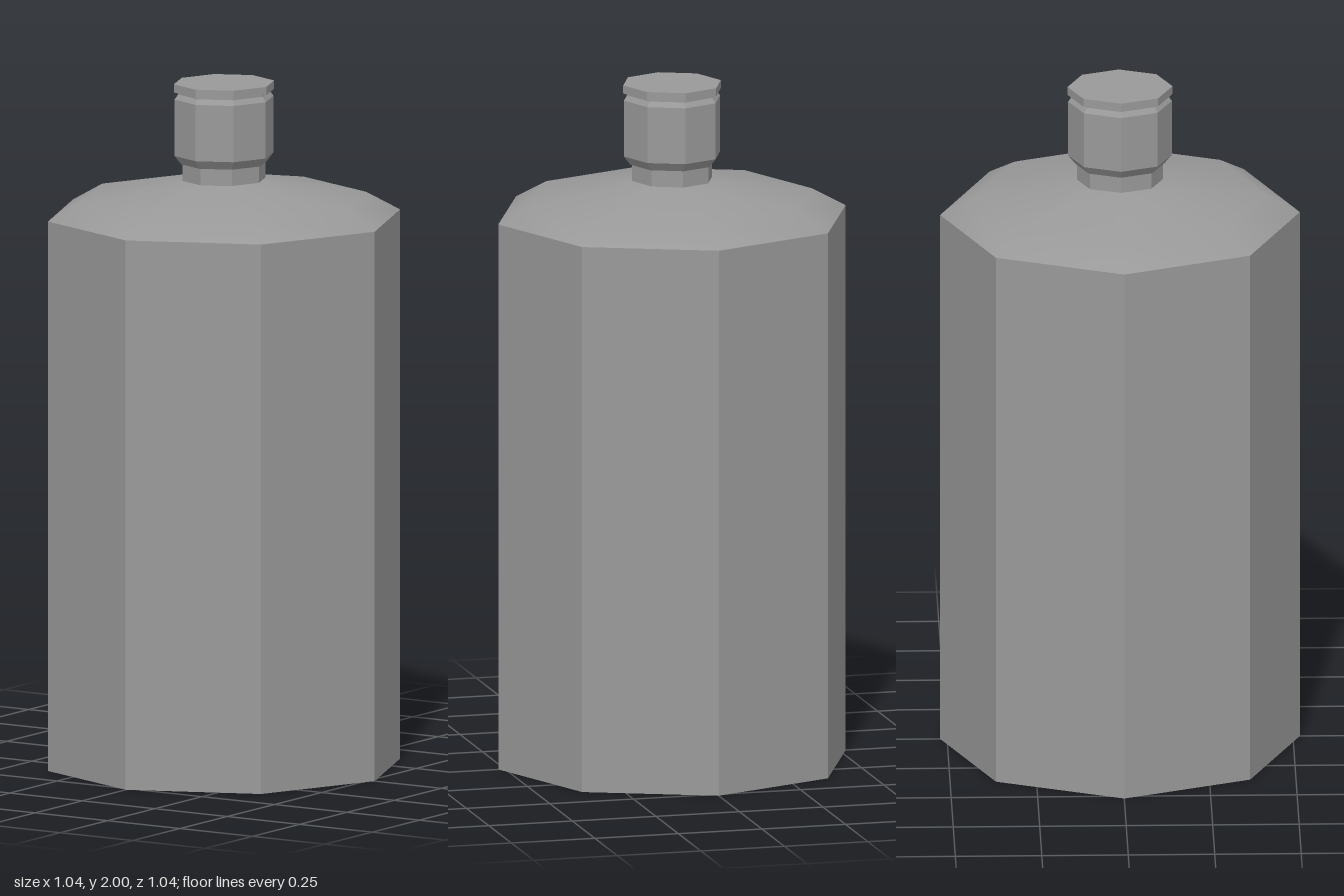
import * as THREE from 'three';

const SIDES = 8;

// Eight-sided turned part from a [radius, height] profile, bottom to top
function turned(profile, faceted) {
  const points = profile.map(([r, y]) => new THREE.Vector2(r, y));
  const lathe = new THREE.LatheGeometry(points, SIDES);
  if (!faceted) return lathe;
  const flat = lathe.toNonIndexed();
  flat.computeVertexNormals();
  return flat;
}

export function createModel() {
  const group = new THREE.Group();
  const grey = new THREE.MeshStandardMaterial({ color: 0x999999 });
  grey.name = 'grey';

  function add(name, profile, faceted) {
    const mesh = new THREE.Mesh(turned(profile, faceted), grey);
    mesh.name = name;
    group.add(mesh);
    return mesh;
  }

  // Straight faceted body with a closed base
  add('body', [[0, 0], [0.52, 0], [0.52, 1.61]], true);

  // Softly shaded sloping shoulder
  add('shoulder', [[0.52, 1.61], [0.42, 1.665], [0.1, 1.72]], false);

  // Short neck
  const neck = add('neck', [[0.125, 1.7], [0.125, 1.77]], true);

  // Cap with a chamfered lower rim
  const cap = add('cap', [
    [0.1, 1.765], [0.13, 1.765], [0.15, 1.79], [0.15, 1.955], [0.139, 1.97],
  ], true);

  // Thin lid above the groove
  const lid = add('lid', [
    [0.139, 1.965], [0.139, 1.974], [0.152, 1.976], [0.152, 2], [0, 2],
  ], true);

  // The stopper is slightly narrower across than deep
  for (const part of [neck, cap, lid]) part.scale.x = 0.96;

  return group;
}
